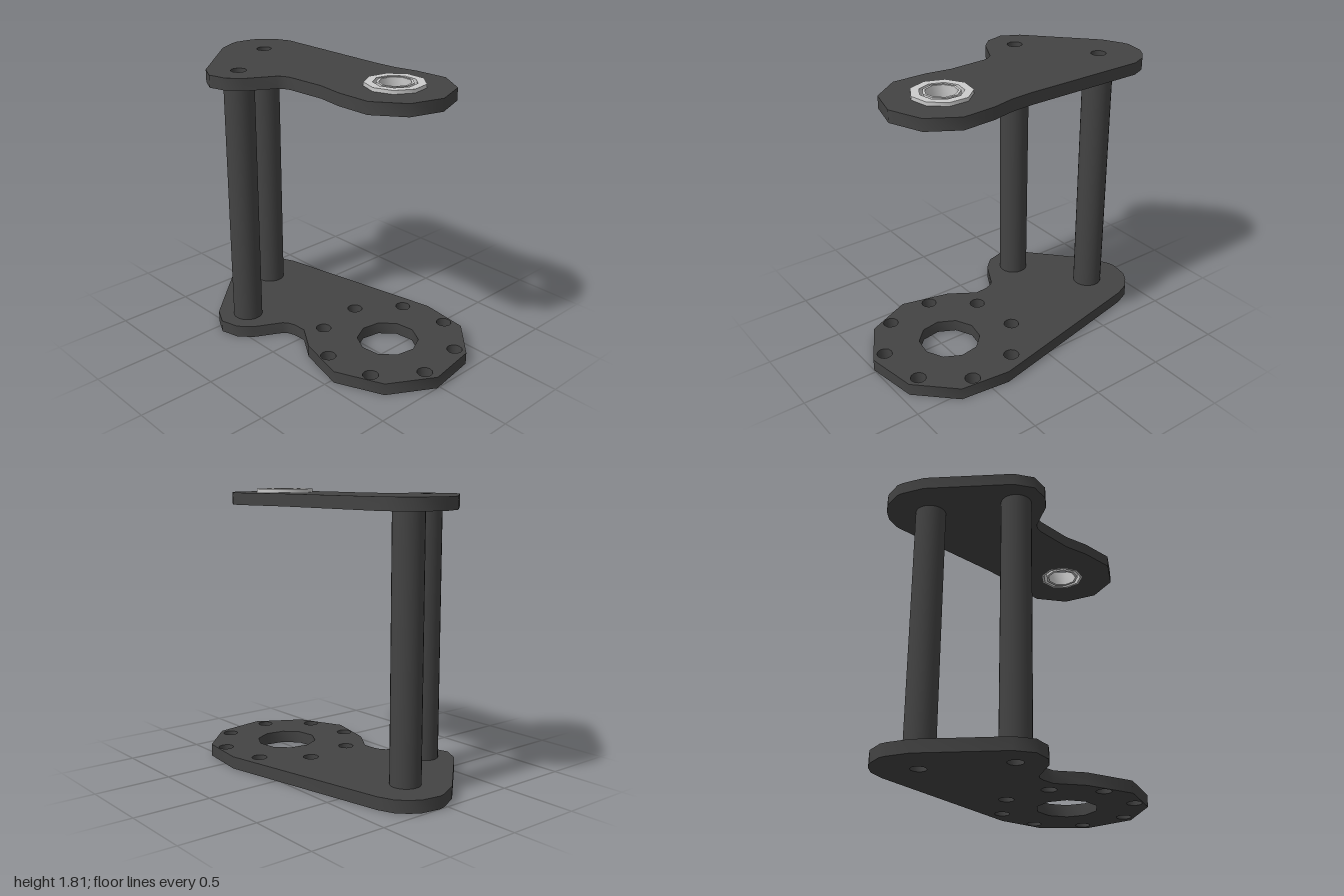
import * as THREE from 'three';
import { toCreasedNormals } from 'three/addons/utils/BufferGeometryUtils.js';

const DARK = 0x434343, GREY = 0xcccccc;
const HUB = [0.077, 0.483];
const POSTS = [[0.075, -0.72], [-0.387, -0.40]];
const BASE_TOP = 0.08, ARM_BOTTOM = 1.712, ARM_TOP = 1.79, BEARING_TOP = 1.813;

const material = (color, extra = {}) => new THREE.MeshStandardMaterial({ color, ...extra });

// Corners of a regular polygon around [x, z]
function ring([cx, cz], r, sides, startDeg = 0) {
  return Array.from({ length: sides }, (_, i) => {
    const a = THREE.MathUtils.degToRad(startDeg) + (i / sides) * Math.PI * 2;
    return [cx + r * Math.cos(a), cz + r * Math.sin(a)];
  });
}

const toPoints = (pts) => pts.map(([x, z]) => new THREE.Vector2(x, -z));

// Flat slab between two heights; holes wind opposite to the outline so their walls face inwards
function slab(name, outline, holes, y0, y1, color) {
  const shape = new THREE.Shape(toPoints(outline));
  holes.forEach((h) => shape.holes.push(new THREE.Path(toPoints(h).reverse())));
  const geo = new THREE.ExtrudeGeometry(shape, { depth: y1 - y0, bevelEnabled: false });
  geo.rotateX(-Math.PI / 2);
  geo.translate(0, y0, 0);
  const mesh = new THREE.Mesh(toCreasedNormals(geo, 0.9), material(color));
  mesh.name = name;
  return mesh;
}

// Hollow spacer tube between the two plates
function post([x, z]) {
  const group = new THREE.Group();
  group.name = 'spacerPost';
  const h = ARM_BOTTOM - BASE_TOP;
  const outer = new THREE.Mesh(new THREE.CylinderGeometry(0.097, 0.097, h, 24, 1, true), material(DARK));
  outer.name = 'postWall';
  const bore = new THREE.Mesh(
    new THREE.CylinderGeometry(0.05, 0.05, h, 12, 1, true),
    material(DARK, { side: THREE.DoubleSide }));
  bore.name = 'postBore';
  group.add(outer, bore);
  group.position.set(x, BASE_TOP + h / 2, z);
  return group;
}

export function createModel() {
  const model = new THREE.Group();
  model.name = 'bearingBracket';

  // Rear outline shared by both plates, from the inner fillet round to the right edge
  const rear = [
    [-0.255, 0.03], [-0.26, -0.06], [-0.275, -0.105], [-0.30, -0.135],
    [-0.48, -0.23], [-0.555, -0.31], [-0.572, -0.38], [-0.587, -0.43], [-0.525, -0.55],
    [-0.115, -0.925], [0.02, -0.99], [0.06, -1.0], [0.185, -0.98], [0.25, -0.94],
    [0.31, -0.88], [0.352, -0.78],
  ];
  const baseFront = [
    [0.587, 0.38], [0.548, 0.71], [0.318, 0.945], [-0.02, 1.0],
    [-0.31, 0.83], [-0.445, 0.525], [-0.365, 0.20],
  ];
  const armFront = [
    [0.36, 0.04], [0.372, 0.20], [0.408, 0.35], [0.424, 0.57], [0.308, 0.76],
    [0.09, 0.845], [-0.125, 0.785], [-0.265, 0.60], [-0.27, 0.37], [-0.245, 0.20],
  ];
  const postHoles = POSTS.map((p) => ring(p, 0.05, 12));

  // Base plate: large opening with a circle of eight bolt holes
  const boltHoles = ring(HUB, 0.44, 8, 15).map((c) => ring(c, 0.05, 12));
  model.add(slab('basePlate', [...rear, ...baseFront],
    [...postHoles, ...boltHoles, ring(HUB, 0.2, 10, 10)], 0, BASE_TOP, DARK));

  // Upper arm carrying the bearing
  model.add(slab('upperArm', [...rear, ...armFront],
    [...postHoles, ring(HUB, 0.147, 9, 20)], ARM_BOTTOM, ARM_TOP, DARK));

  POSTS.forEach((p) => model.add(post(p)));

  // Flanged bearing: flange, outer race and a separate inner race
  const bearing = new THREE.Group();
  bearing.name = 'bearing';
  bearing.add(
    slab('bearingFlange', ring(HUB, 0.187, 9, 20), [ring(HUB, 0.134, 9, 20)], ARM_TOP, BEARING_TOP, GREY),
    slab('outerRace', ring(HUB, 0.147, 9, 20), [ring(HUB, 0.134, 9, 20)], ARM_BOTTOM, ARM_TOP, GREY),
    slab('innerRace', ring(HUB, 0.114, 9, 20), [ring(HUB, 0.098, 9, 20)], ARM_BOTTOM, BEARING_TOP, GREY),
  );
  model.add(bearing);

  return model;
}
